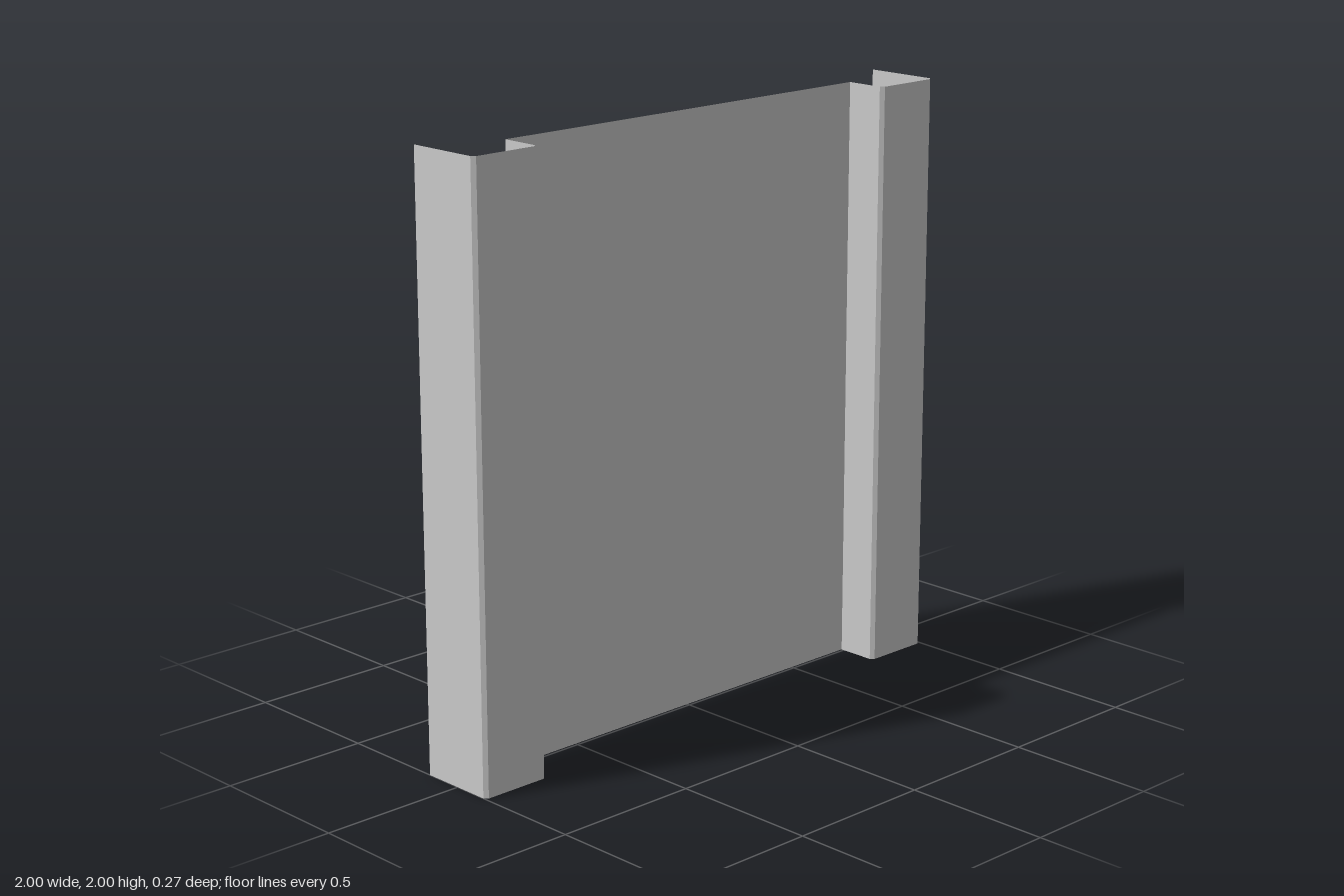
import * as THREE from 'three';

const HEIGHT = 2;
const material = new THREE.MeshStandardMaterial({ color: 0xcccccc, flatShading: true, side: THREE.DoubleSide });

// Upright sheet folded along a list of [x, z] points
function foldedSheet(name, points) {
  const positions = [];
  for (let i = 0; i < points.length - 1; i++) {
    const [ax, az] = points[i];
    const [bx, bz] = points[i + 1];
    positions.push(ax, 0, az, bx, 0, bz, bx, HEIGHT, bz);
    positions.push(ax, 0, az, bx, HEIGHT, bz, ax, HEIGHT, az);
  }
  const geometry = new THREE.BufferGeometry();
  geometry.setAttribute('position', new THREE.Float32BufferAttribute(positions, 3));
  geometry.computeVertexNormals();
  const mesh = new THREE.Mesh(geometry, material);
  mesh.name = name;
  return mesh;
}

export function createModel() {
  const group = new THREE.Group();
  group.name = 'foldedSheetPanel';

  const panelZ = -0.01, frontZ = 0.135, backZ = -0.135;
  const outerX = 1, innerX = 0.752, bend = 0.012;

  // Recessed flat panel
  group.add(foldedSheet('centrePanel', [[-innerX, panelZ], [innerX, panelZ]]));

  // Raised side channels: inner web, front face and outer return, with small bevelled bends
  const channel = [
    [innerX, panelZ],
    [innerX, frontZ - bend],
    [innerX + bend, frontZ],
    [outerX - bend, frontZ],
    [outerX, frontZ - bend],
    [outerX, backZ],
  ];
  group.add(foldedSheet('leftChannel', channel));
  group.add(foldedSheet('rightChannel', channel.map(([x, z]) => [-x, z]).reverse()));

  return group;
}
